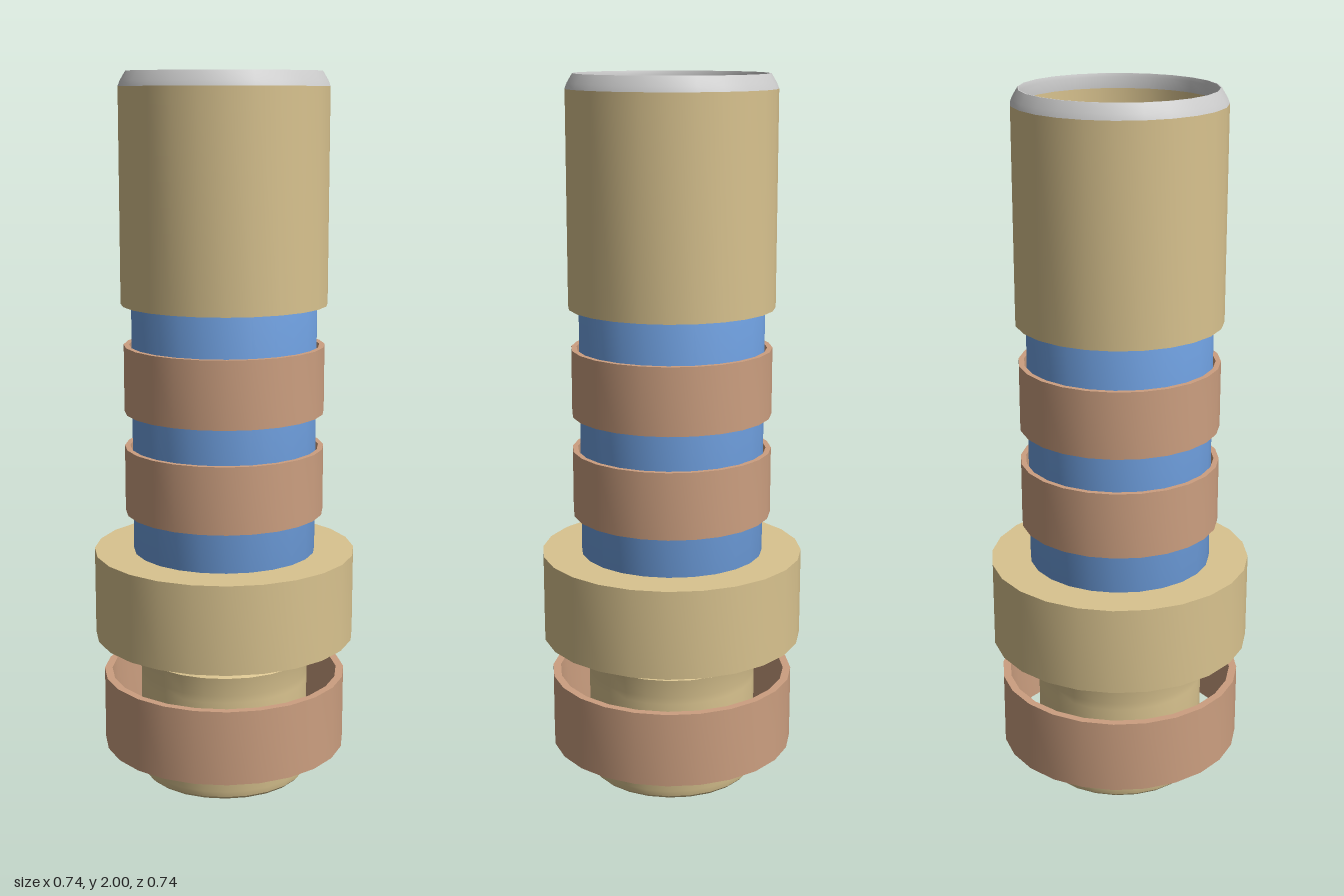
import * as THREE from 'three';
import { toCreasedNormals } from 'three/addons/utils/BufferGeometryUtils.js';

const SIDES = 24;
const mat = (color) => new THREE.MeshStandardMaterial({ color });

export function createModel() {
  const group = new THREE.Group();
  const tan = mat(0xd9c38f), brown = mat(0xcc9f80), blue = mat(0x6fa0e0), grey = mat(0xcccccc);

  // Revolves a closed [radius, height] profile, listed anticlockwise from the inner bottom.
  function turned(name, profile, material, smooth = false) {
    const points = [...profile, profile[0]].map(([r, y]) => new THREE.Vector2(r, y));
    let geometry = new THREE.LatheGeometry(points, SIDES);
    if (!smooth) geometry = toCreasedNormals(geometry, 0.42);
    const mesh = new THREE.Mesh(geometry, material);
    mesh.name = name;
    group.add(mesh);
  }
  const ring = (name, inner, outer, y0, y1, material, smooth) =>
    turned(name, [[inner, y0], [outer, y0], [outer, y1], [inner, y1]], material, smooth);

  // Hollow end fitting with a rounded foot and a small barb
  turned('endFitting', [
    [0.21, 0], [0.228, 0], [0.236, 0.008], [0.24, 0.025], [0.24, 0.29],
    [0.24, 0.31], [0.25, 0.365], [0.24, 0.37], [0.24, 0.42], [0.21, 0.42],
  ], tan);

  // Loose collar around the end fitting, and the wide flange above it
  ring('lowerCollar', 0.325, 0.347, 0.095, 0.307, brown);
  ring('flange', 0.157, 0.37, 0.42, 0.67, tan);

  // Sleeve with two thin bands
  ring('sleeve', 0.157, 0.258, 0.67, 1.38, blue, true);
  [0.783, 1.07].forEach((y, i) => ring(`sleeveBand${i + 1}`, 0.265, 0.28, y, y + 0.188, brown));

  // Barrel: an open socket with a holed floor
  turned('barrel', [
    [0.157, 1.372], [0.287, 1.372], [0.287, 1.96], [0.26, 1.96], [0.26, 1.4], [0.157, 1.4],
  ], tan);

  // Bevelled lip on the barrel
  turned('barrelLip', [
    [0.26, 1.96], [0.287, 1.96], [0.281, 1.975], [0.266, 2], [0.263, 2], [0.26, 1.99],
  ], grey);

  return group;
}
